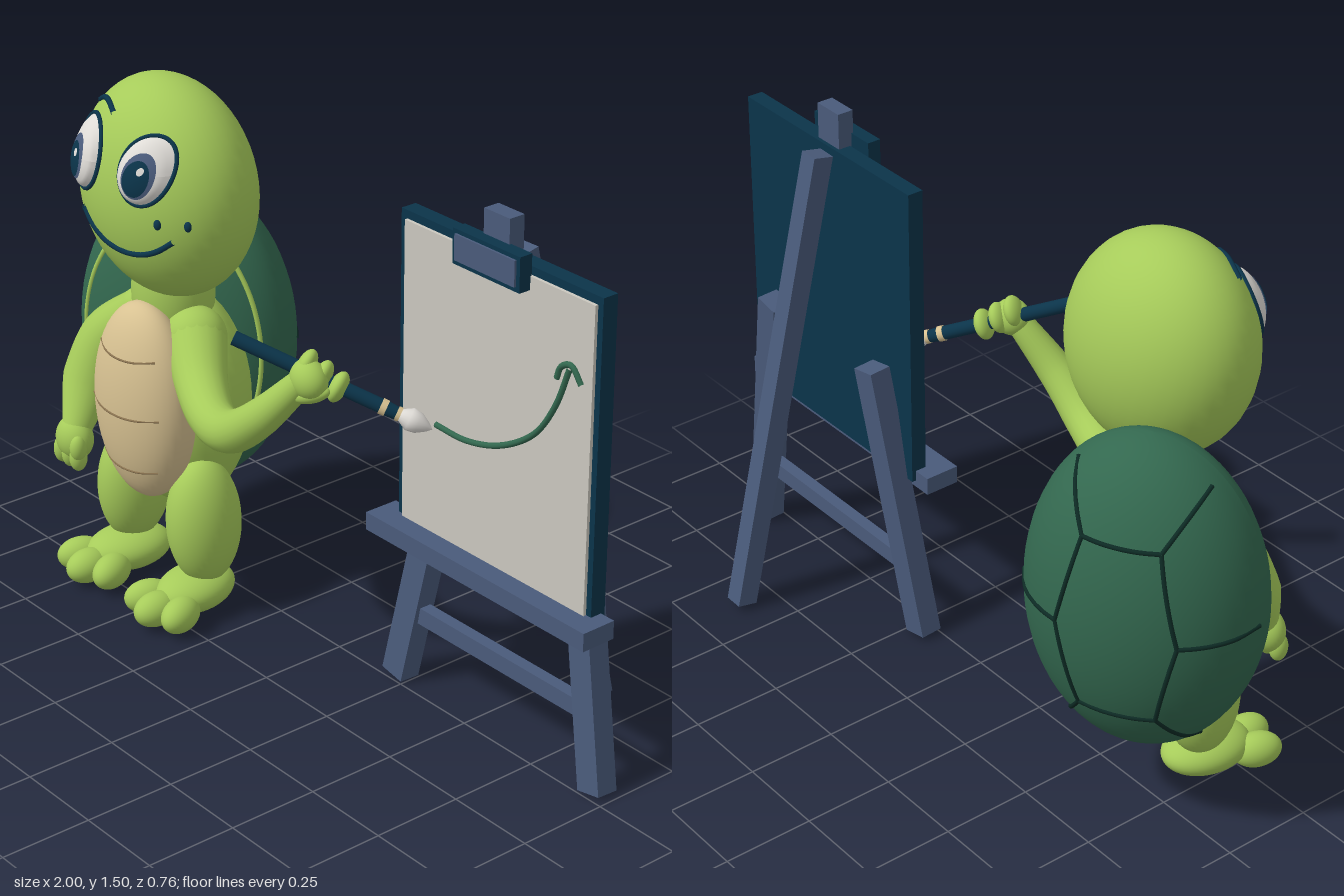
import * as THREE from 'three';

const mat = (name, color, side = THREE.FrontSide) => {
  const m = new THREE.MeshStandardMaterial({ color, side });
  m.name = name;
  return m;
};
const V = (p) => new THREE.Vector3(...p);

export function createModel() {
  const skin = mat('lime skin', 0xa6cb5a);
  const shellGreen = mat('shell green', 0x33684f);
  const seamDark = mat('dark seam', 0x0d2a24);
  const sand = mat('sand belly', 0xd8c292);
  const brown = mat('brown crease', 0x8a7350);
  const navy = mat('navy', 0x0b344a, THREE.DoubleSide);
  const slate = mat('slate wood', 0x4a5b7b, THREE.DoubleSide);
  const white = mat('eye white', 0xdedbd6, THREE.DoubleSide);
  const paper = mat('paper', 0xcbc8bf);

  const model = new THREE.Group();
  model.name = 'turtlePainter';
  const turtle = new THREE.Group();
  turtle.name = 'turtle';
  const easel = new THREE.Group();
  easel.name = 'easel';
  model.add(turtle, easel);

  // Shared helpers
  const add = (parent, name, geo, m, pos = [0, 0, 0], rot = [0, 0, 0]) => {
    const mesh = new THREE.Mesh(geo, m);
    mesh.name = name;
    mesh.position.set(...pos);
    mesh.rotation.set(...rot);
    parent.add(mesh);
    return mesh;
  };
  const ball = (parent, name, m, pos, size, rot) =>
    add(parent, name, new THREE.SphereGeometry(1, 40, 28).scale(...size), m, pos, rot);
  const line = (parent, name, m, pts, r, closed = false) =>
    add(parent, name, new THREE.TubeGeometry(new THREE.CatmullRomCurve3(pts.map(V), closed), pts.length * 8, r, 8, closed), m);
  const box = (parent, name, m, x0, x1, y0, y1, z0, z1) =>
    add(parent, name, new THREE.BoxGeometry(x1 - x0, y1 - y0, z1 - z0), m, [(x0 + x1) / 2, (y0 + y1) / 2, (z0 + z1) / 2]);
  const beam = (name, a, b, w, d) => {
    const mesh = add(easel, name, new THREE.BoxGeometry(w, d, V(a).distanceTo(V(b))), slate,
      V(a).add(V(b)).multiplyScalar(0.5).toArray());
    mesh.up.set(0, 0, 1);
    mesh.lookAt(V(b));
  };
  // Tapered limb: a tube whose rings are scaled about the path
  const limb = (name, pts, radii) => {
    const curve = new THREE.CatmullRomCurve3(pts.map(V));
    const n = 40, sides = 20;
    const geo = new THREE.TubeGeometry(curve, n, 1, sides);
    const pos = geo.attributes.position, p = new THREE.Vector3();
    for (let i = 0; i <= n; i++) {
      const c = curve.getPointAt(i / n);
      const f = (i / n) * (radii.length - 1), k = Math.min(Math.floor(f), radii.length - 2);
      const r = THREE.MathUtils.lerp(radii[k], radii[k + 1], f - k);
      for (let j = 0; j <= sides; j++) {
        const id = i * (sides + 1) + j;
        p.fromBufferAttribute(pos, id).sub(c).multiplyScalar(r).add(c);
        pos.setXYZ(id, p.x, p.y, p.z);
      }
    }
    add(turtle, name, geo, skin);
    ball(turtle, name + 'Start', skin, pts[0], Array(3).fill(radii[0]));
    ball(turtle, name + 'End', skin, pts.at(-1), Array(3).fill(radii.at(-1)));
  };

  // Torso, neck and belly plate
  ball(turtle, 'torso', skin, [-0.565, 0.57, 0.09], [0.205, 0.32, 0.17], [0, 0.25, 0]);
  ball(turtle, 'neck', skin, [-0.56, 0.88, 0.11], [0.115, 0.2, 0.11]);
  const belly = new THREE.Group();
  belly.name = 'bellyPlate';
  belly.position.set(-0.54, 0.6, 0.225);
  belly.rotation.y = 0.08;
  turtle.add(belly);
  ball(belly, 'belly', sand, [0, 0, 0], [0.168, 0.283, 0.108]);
  for (const y of [0.16, 0, -0.165]) {
    const w = 0.155 * Math.sqrt(1 - (y / 0.283) ** 2) * 0.85;
    const pts = [-1, -0.5, 0, 0.5, 1].map((t) => {
      const yy = y - 0.012 * (1 - t * t);
      return [t * w, yy, 0.108 * Math.sqrt(1 - (t * w / 0.168) ** 2 - (yy / 0.283) ** 2)];
    });
    line(belly, 'bellyCrease', brown, pts, 0.003);
  }

  // Shell: domed at the back, flatter towards the body
  const shell = new THREE.Group();
  shell.name = 'shell';
  shell.position.set(-0.705, 0.668, -0.04);
  shell.rotation.y = 0.5;
  turtle.add(shell);
  const W = 0.31, H = 0.443, BACK = 0.255, FRONT = 0.17;
  const dome = new THREE.SphereGeometry(1, 48, 36);
  const dp = dome.attributes.position;
  for (let i = 0; i < dp.count; i++) {
    const z = dp.getZ(i);
    dp.setXYZ(i, dp.getX(i) * W, dp.getY(i) * H, z * (z > 0 ? FRONT : BACK));
  }
  dome.computeVertexNormals();
  add(shell, 'shellDome', dome, shellGreen);
  // Seams: a central hexagon with six spokes
  const hex = [[0.32, 0.55], [0.5, 0], [0.32, -0.55], [-0.32, -0.55], [-0.5, 0], [-0.32, 0.55]];
  const out = [[0.54, 0.82], [0.98, 0], [0.54, -0.82], [-0.54, -0.82], [-0.98, 0], [-0.54, 0.82]];
  const seam = (a, b) => {
    const pts = [0, 0.25, 0.5, 0.75, 1].map((t) => {
      const u = a[0] + (b[0] - a[0]) * t, v = a[1] + (b[1] - a[1]) * t;
      return [u * W, v * H, -BACK * Math.sqrt(1 - u * u - v * v)];
    });
    line(shell, 'shellSeam', seamDark, pts, 0.006);
  };
  hex.forEach((h, i) => {
    seam(h, hex[(i + 1) % 6]);
    seam(h, out[i]);
  });
  const rim = Array.from({ length: 24 }, (_, i) => {
    const a = (i / 24) * Math.PI * 2;
    return [Math.cos(a) * W * 0.84, Math.sin(a) * H * 0.84, FRONT * 0.543];
  });
  line(shell, 'shellRim', skin, rim, 0.007, true);
  ball(turtle, 'tail', skin, [-0.6, 0.29, 0.03], [0.05, 0.06, 0.08]);

  // Head
  const HC = [-0.52, 1.203, 0.145], HR = [0.27, 0.297, 0.21], TILT = 0.3;
  ball(turtle, 'head', skin, HC, HR, [0, 0, TILT]);
  const headZ = (x, y) => {
    const dx = x - HC[0], dy = y - HC[1], c = Math.cos(TILT), s = Math.sin(TILT);
    const u = (dx * c + dy * s) / HR[0], v = (dy * c - dx * s) / HR[1];
    return HC[2] + HR[2] * Math.sqrt(Math.max(0, 1 - u * u - v * v));
  };
  const face = new THREE.Group();
  face.name = 'face';
  turtle.add(face);
  // Disc laid on a height rule
  const patch = (name, m, cx, cy, rx, ry, zAt) => {
    const geo = new THREE.RingGeometry(0, 1, 36, 8);
    const p = geo.attributes.position;
    for (let i = 0; i < p.count; i++) {
      const x = cx + p.getX(i) * rx, y = cy + p.getY(i) * ry;
      p.setXYZ(i, x, y, zAt(x, y));
    }
    geo.computeVertexNormals();
    add(face, name, geo, m);
  };
  for (const [x, y, rx, ry, px] of [[-0.628, 1.305, 0.08, 0.093, 0], [-0.398, 1.315, 0.068, 0.086, 0.008]]) {
    const eyeZ = (lift) => (a, b) =>
      headZ(a, b) + lift + 0.034 * Math.sqrt(Math.max(0, 1 - ((a - x) / rx) ** 2 - ((b - y) / ry) ** 2));
    patch('eyeWhite', white, x, y, rx, ry, eyeZ(0));
    patch('iris', slate, x + px, y - 0.005, 0.04, 0.058, eyeZ(0.003));
    patch('pupil', navy, x + px, y - 0.01, 0.032, 0.046, eyeZ(0.006));
    patch('eyeGlint', white, x + px + 0.012, y + 0.012, 0.008, 0.01, eyeZ(0.009));
    const ring = Array.from({ length: 20 }, (_, i) => {
      const a = (i / 20) * Math.PI * 2, ex = x + Math.cos(a) * rx, ey = y + Math.sin(a) * ry;
      return [ex, ey, headZ(ex, ey) + 0.002];
    });
    line(face, 'eyeOutline', navy, ring, 0.006, true);
  }
  const faceLine = (name, pts, r) => line(face, name, navy, pts.map(([x, y]) => [x, y, headZ(x, y)]), r);
  faceLine('brow', [[-0.68, 1.412], [-0.65, 1.428], [-0.61, 1.433], [-0.555, 1.42]], 0.008);
  faceLine('mouth', [[-0.635, 1.15], [-0.6, 1.123], [-0.555, 1.1], [-0.51, 1.087], [-0.46, 1.082],
    [-0.41, 1.087], [-0.365, 1.105], [-0.32, 1.14]], 0.008);
  faceLine('mouthCorner', [[-0.643, 1.143], [-0.635, 1.152], [-0.624, 1.158]], 0.007);
  for (const x of [-0.35, -0.29]) ball(face, 'nostril', navy, [x, 1.185, headZ(x, 1.185)], [0.011, 0.014, 0.009]);

  // Legs and three-toed feet
  for (const [x, s] of [[-0.4, 1], [-0.715, -1]]) {
    ball(turtle, 'leg', skin, [x, 0.265, 0.145], [0.092, 0.182, 0.108], [0, 0, s * 0.06]);
    ball(turtle, 'foot', skin, [x - s * 0.005, 0.068, 0.175], [0.09, 0.06, 0.125], [0, s * 0.15, 0]);
    for (const [dx, dz, r] of [[-0.07, 0.285, 0.045], [0, 0.31, 0.048], [0.068, 0.28, 0.045]])
      ball(turtle, 'toe', skin, [x + dx, 0.05, dz], [r, 0.048, 0.068], [0, dx * 5, 0]);
  }

  // Lowered arm
  limb('rightArm', [[-0.68, 0.79, 0.13], [-0.755, 0.7, 0.18], [-0.785, 0.58, 0.23], [-0.772, 0.45, 0.29]],
    [0.06, 0.08, 0.075, 0.042]);
  ball(turtle, 'rightHand', skin, [-0.772, 0.42, 0.3], [0.06, 0.062, 0.048]);
  for (const dx of [-0.038, 0, 0.036])
    ball(turtle, 'rightFinger', skin, [-0.772 + dx, 0.378, 0.315], [0.023, 0.04, 0.026]);
  ball(turtle, 'rightThumb', skin, [-0.728, 0.41, 0.32], [0.022, 0.038, 0.024]);

  // Painting arm
  limb('leftArm', [[-0.44, 0.79, 0.13], [-0.32, 0.705, 0.2], [-0.2, 0.676, 0.255], [-0.08, 0.7, 0.29],
    [0.04, 0.785, 0.29], [0.15, 0.91, 0.245]], [0.085, 0.07, 0.06, 0.056, 0.048, 0.035]);
  ball(turtle, 'leftHand', skin, [0.165, 0.92, 0.235], [0.055, 0.05, 0.045], [0, 0, -0.5]);
  for (let i = 0; i < 3; i++)
    ball(turtle, 'leftFinger', skin, [0.145 + i * 0.032, 0.95 - i * 0.026, 0.225 - i * 0.024],
      [0.023, 0.042, 0.04], [0, 0.6, -0.4]);
  ball(turtle, 'leftThumb', skin, [0.18, 0.885, 0.24], [0.05, 0.022, 0.024], [0, 0.6, 0.3]);

  // Paintbrush, built along its own y axis
  const brush = new THREE.Group();
  brush.name = 'paintbrush';
  const b0 = V([0, 1.005, 0.34]), dir = V([0.395, 0.805, 0.03]).sub(b0), L = dir.length();
  brush.position.copy(b0);
  brush.quaternion.setFromUnitVectors(new THREE.Vector3(0, 1, 0), dir.normalize());
  model.add(brush);
  const rod = (name, m, t0, t1, r0, r1) =>
    add(brush, name, new THREE.CylinderGeometry(r1, r0, (t1 - t0) * L, 20), m, [0, ((t0 + t1) / 2) * L, 0]);
  rod('brushHandle', navy, 0, 0.74, 0.019, 0.019);
  rod('brushBand', sand, 0.74, 0.77, 0.021, 0.021);
  rod('brushFerrule', navy, 0.77, 0.82, 0.019, 0.017);
  rod('brushBand', sand, 0.82, 0.84, 0.019, 0.019);
  const tuft = [[0.016, 0.84], [0.03, 0.885], [0.027, 0.93], [0.012, 0.975], [0, 1]];
  add(brush, 'brushTip', new THREE.LatheGeometry(tuft.map(([r, t]) => new THREE.Vector2(r, t * L)), 20), white);

  // Board, paper and clip
  box(easel, 'board', navy, 0.24, 0.945, 0.475, 1.34, -0.042, 0.003);
  box(easel, 'paper', paper, 0.262, 0.928, 0.5, 1.318, 0.003, 0.012);
  box(easel, 'post', slate, 0.548, 0.638, 1.3, 1.44, -0.032, 0.014);
  box(easel, 'clip', navy, 0.475, 0.71, 1.283, 1.375, 0.008, 0.046);
  box(easel, 'clipPlate', slate, 0.487, 0.698, 1.296, 1.364, 0.046, 0.052);
  box(easel, 'tray', slate, 0.19, 0.99, 0.455, 0.505, -0.03, 0.07);

  // Painted stroke
  line(easel, 'paintedStroke', shellGreen, [[0.39, 0.812, 0.014], [0.5, 0.811, 0.014], [0.62, 0.843, 0.014],
    [0.74, 0.92, 0.014], [0.81, 1.02, 0.014], [0.855, 1.135, 0.014]], 0.008);
  line(easel, 'paintedHook', shellGreen, [[0.812, 1.095, 0.014], [0.825, 1.128, 0.014], [0.86, 1.143, 0.014],
    [0.895, 1.105, 0.014]], 0.008);

  // Easel legs
  for (const s of [-1, 1]) beam('frontLeg', [0.58 + s * 0.372, 0.005, -0.035], [0.58 + s * 0.22, 0.79, -0.08], 0.075, 0.062);
  beam('backLeg', [0.622, 0.01, -0.352], [0.588, 1.325, -0.072], 0.055, 0.06);
  box(easel, 'crossbar', slate, 0.26, 0.9, 0.182, 0.23, -0.065, -0.03);

  return model;
}
